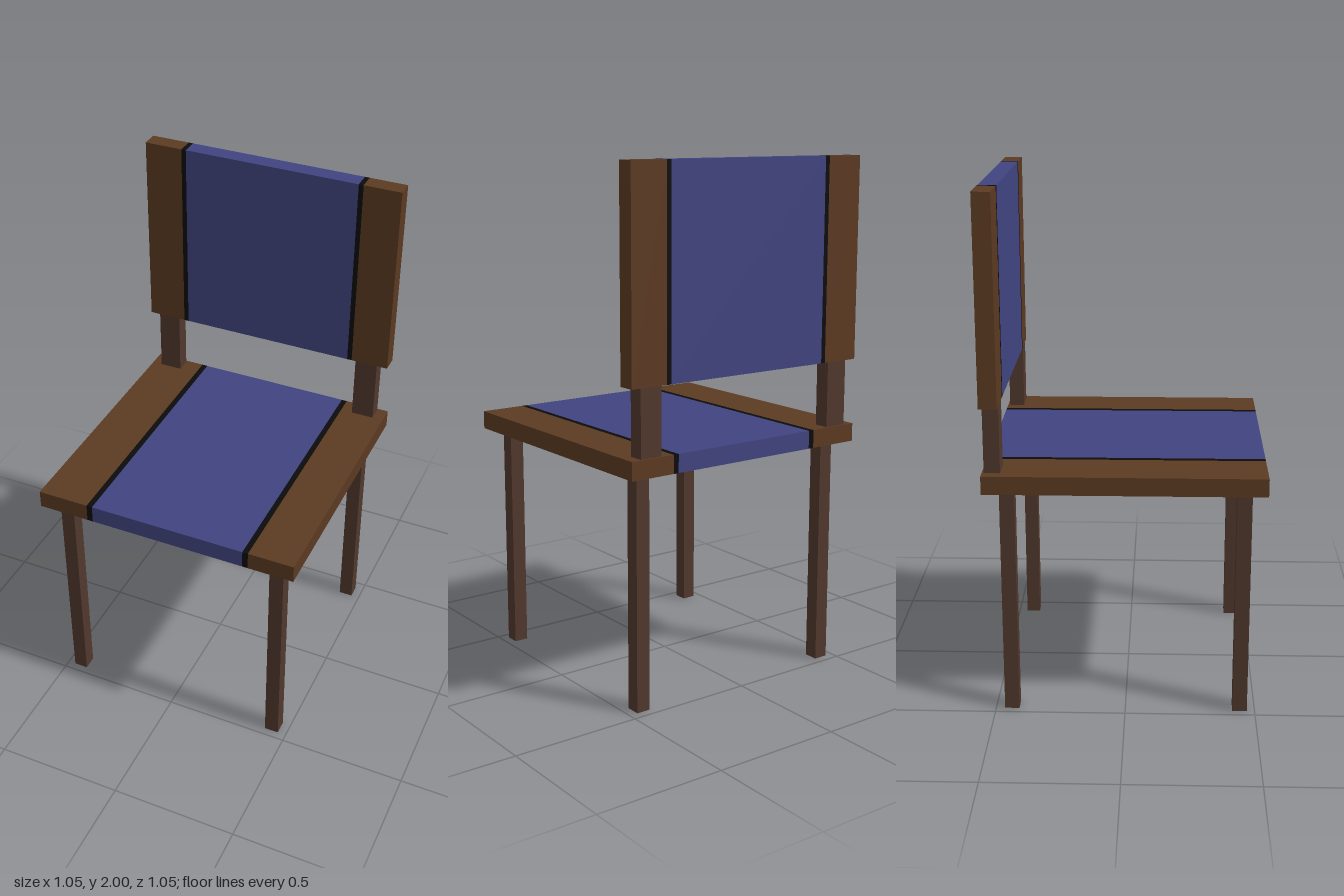
import * as THREE from 'three';

const mat = (name, color) => {
  const m = new THREE.MeshStandardMaterial({ color });
  m.name = name;
  return m;
};

export function createModel() {
  const wood = mat('brown wood', 0x5c3a22);
  const legWood = mat('dark leg wood', 0x50382d);
  const fabric = mat('blue fabric', 0x414480);
  const trim = mat('black trim', 0x0b0b0b);

  const group = new THREE.Group();
  group.name = 'chair';

  const addBox = (name, material, x0, x1, y0, y1, z0, z1) => {
    const mesh = new THREE.Mesh(new THREE.BoxGeometry(x1 - x0, y1 - y0, z1 - z0), material);
    mesh.position.set((x0 + x1) / 2, (y0 + y1) / 2, (z0 + z1) / 2);
    mesh.name = name;
    group.add(mesh);
  };

  // One slab banded across its width: wood, trim, fabric, trim, wood
  const addBandedSlab = (name, edges, y0, y1, z0, z1) => {
    const bands = edges.length - 1;
    const geo = new THREE.BoxGeometry(bands, y1 - y0, z1 - z0, bands, 1, 1);
    const pos = geo.attributes.position;
    const index = geo.index;
    const slots = [0, 1, 2, 1, 0];
    geo.clearGroups();
    // Colour each quad by the band its centre lies in
    for (let i = 0; i < index.count; i += 6) {
      let sum = 0;
      for (let k = 0; k < 6; k++) sum += pos.getX(index.getX(i + k));
      const band = Math.floor(sum / 6 + bands / 2);
      geo.addGroup(i, 6, slots[Math.min(bands - 1, Math.max(0, band))]);
    }
    // Slide the evenly spaced columns to the real band edges
    for (let i = 0; i < pos.count; i++) {
      pos.setX(i, edges[Math.round(pos.getX(i) + bands / 2)]);
    }
    const mesh = new THREE.Mesh(geo, [wood, trim, fabric]);
    mesh.position.set(0, (y0 + y1) / 2, (z0 + z1) / 2);
    mesh.name = name;
    group.add(mesh);
  };

  // Seat and backrest
  addBandedSlab('seat', [-0.525, -0.321, -0.298, 0.323, 0.345, 0.525], 0.9, 0.97, -0.525, 0.525);
  addBandedSlab('backrest', [-0.525, -0.371, -0.352, 0.356, 0.375, 0.525], 1.225, 2, -0.525, -0.457);

  // Posts joining the backrest to the seat
  addBox('rightBackPost', legWood, -0.485, -0.395, 0.97, 1.225, -0.517, -0.457);
  addBox('leftBackPost', legWood, 0.392, 0.482, 0.97, 1.225, -0.517, -0.457);

  // Four legs
  for (const [side, x] of [['Right', -0.442], ['Left', 0.438]]) {
    for (const [end, z] of [['front', 0.442], ['back', -0.438]]) {
      addBox(`${end}${side}Leg`, legWood, x - 0.028, x + 0.028, 0, 0.9, z - 0.028, z + 0.028);
    }
  }

  return group;
}
